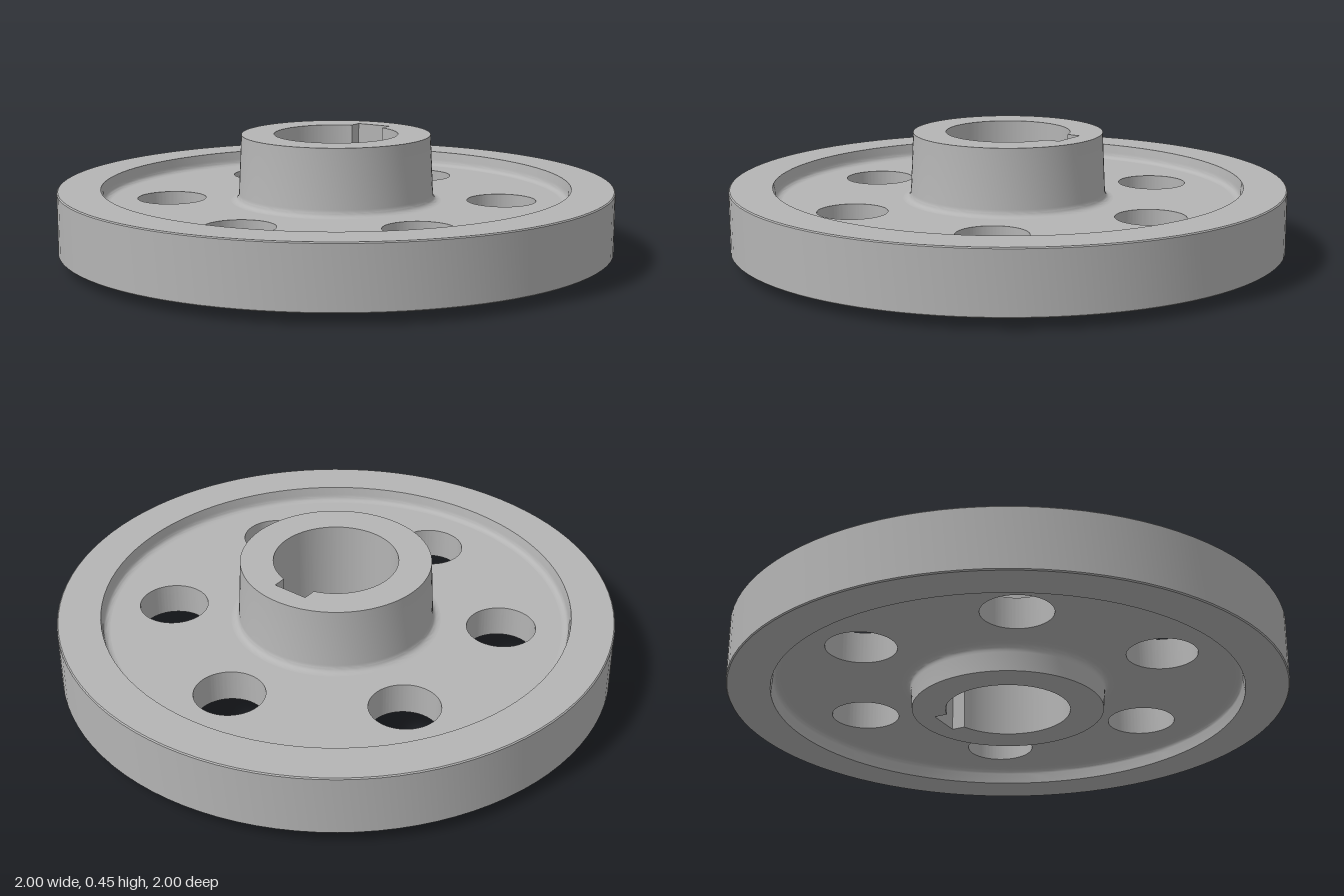
import * as THREE from 'three';
import { toCreasedNormals } from 'three/addons/utils/BufferGeometryUtils.js';

const SEG = 96;
const V = (x, y) => new THREE.Vector2(x, y);

// Rounded inside corner from a to b, bending around corner c
const fillet = (a, c, b) => new THREE.QuadraticBezierCurve(V(...a), V(...c), V(...b)).getPoints(6);

const circle = (Type, r, x = 0, y = 0) => new Type().absarc(x, y, r, 0, Math.PI * 2, false);

export function createModel() {
  const steel = new THREE.MeshStandardMaterial({ color: 0xb4b4b4 });
  steel.name = 'steel grey';
  const group = new THREE.Group();
  group.name = 'wheel';

  const add = (name, geometry) => {
    const mesh = new THREE.Mesh(toCreasedNormals(geometry, 0.45), steel);
    mesh.name = name;
    group.add(mesh);
  };
  const lathe = (name, points) => add(name, new THREE.LatheGeometry(points, SEG));
  const plate = (name, shape, y0, y1) => {
    const g = new THREE.ExtrudeGeometry(shape, { depth: y1 - y0, bevelEnabled: false, curveSegments: SEG });
    add(name, g.rotateX(-Math.PI / 2).translate(0, y0, 0));
  };

  const webLow = 0.095, webHigh = 0.21;

  // Rim with chamfered outer edges, drafted inner walls and fillets
  lathe('rim', [
    ...fillet([0.815, webLow], [0.838, webLow], [0.84, webLow - 0.025]),
    V(0.845, 0.04), V(0.996, 0.04), V(1, 0.044),
    V(1, 0.261), V(0.996, 0.265), V(0.845, 0.265),
    ...fillet([0.84, webHigh + 0.025], [0.838, webHigh], [0.815, webHigh]),
  ]);

  // Web disc with six round holes
  const web = circle(THREE.Shape, 0.818);
  web.holes.push(circle(THREE.Path, 0.377));
  for (let i = 0; i < 6; i++) {
    const a = Math.PI / 6 + (i * Math.PI) / 3;
    web.holes.push(circle(THREE.Path, 0.124, 0.598 * Math.cos(a), 0.598 * Math.sin(a)));
  }
  plate('web', web, webLow, webHigh);

  // Tapered outer skin of the hub, filleted into the web on both sides
  lathe('hubOuter', [
    V(0.3, 0), V(0.343, 0),
    ...fillet([0.348, webLow - 0.027], [0.35, webLow], [0.38, webLow]),
    ...fillet([0.38, webHigh], [0.353, webHigh], [0.351, webHigh + 0.027]),
    V(0.341, 0.45), V(0.3, 0.45),
  ]);

  // Hub core with bore and keyway
  const bore = 0.223, keyHalf = 0.066, keyTop = 0.262;
  const a = Math.acos(keyHalf / bore);
  const hole = new THREE.Path();
  hole.moveTo(keyHalf, keyTop);
  hole.lineTo(-keyHalf, keyTop);
  hole.absarc(0, 0, bore, Math.PI - a, Math.PI * 2 + a, false);
  hole.lineTo(keyHalf, keyTop);
  const core = circle(THREE.Shape, 0.3);
  core.holes.push(hole);
  plate('hubCore', core, 0, 0.45);

  return group;
}
